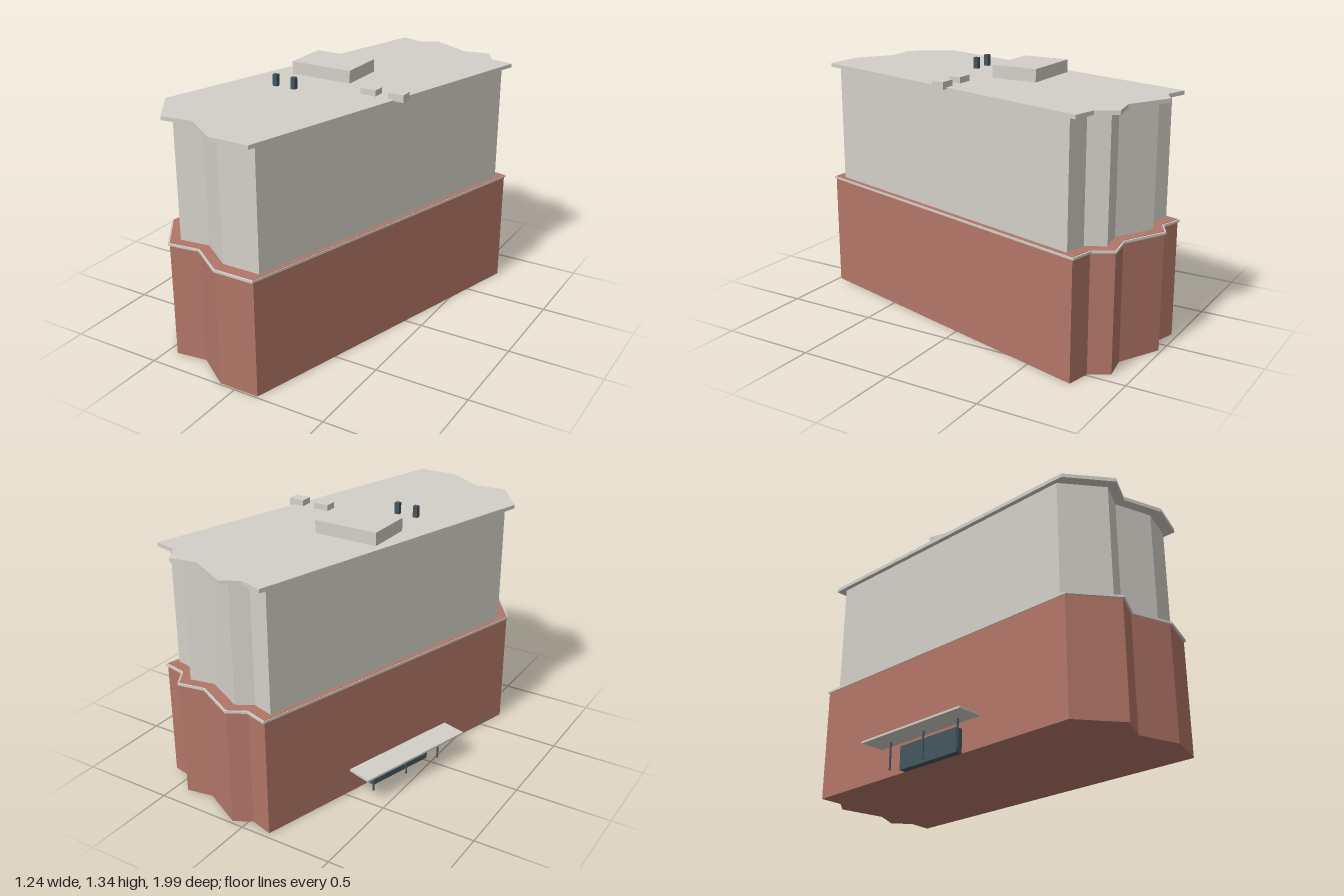
import * as THREE from 'three';

// Footprint of the block as [x, z] corners
const OUTLINE = [
  [-0.14, -0.97], [-0.02, -0.935], [0.07, -0.985], [0.29, -0.87], [0.43, -0.895], [0.49, -0.795],
  [0.615, -0.768], [0.128, 0.99], [-0.09, 0.99], [-0.278, 0.86], [-0.445, 0.882], [-0.602, 0.66],
];

const material = (color) => new THREE.MeshStandardMaterial({ color, flatShading: true });
const stone = material(0xd3d0c8);
const brick = material(0xb27667);
const dark = material(0x44565f);

function add(parent, name, geometry, mat) {
  const mesh = new THREE.Mesh(geometry, mat);
  mesh.name = name;
  parent.add(mesh);
  return mesh;
}

// Storey or slab: the footprint scaled and raised from y0 to y1
function storey(parent, name, scale, y0, y1, mat) {
  const shape = new THREE.Shape(OUTLINE.map(([x, z]) => new THREE.Vector2(x * scale, -z * scale)));
  const geometry = new THREE.ExtrudeGeometry(shape, { depth: y1 - y0, bevelEnabled: false });
  geometry.rotateX(-Math.PI / 2).translate(0, y0, 0);
  return add(parent, name, geometry, mat);
}

// Box given by its limits on each axis
function block(parent, name, [x0, x1], [y0, y1], [z0, z1], mat) {
  const geometry = new THREE.BoxGeometry(x1 - x0, y1 - y0, z1 - z0);
  geometry.translate((x0 + x1) / 2, (y0 + y1) / 2, (z0 + z1) / 2);
  return add(parent, name, geometry, mat);
}

export function createModel() {
  const model = new THREE.Group();
  model.name = 'building';

  // Main volumes
  storey(model, 'lowerWalls', 1, 0, 0.626, brick);
  storey(model, 'ledgeBand', 1.01, 0.612, 0.624, stone);
  storey(model, 'upperWalls', 0.94, 0.62, 1.26, stone);
  storey(model, 'roofSlab', 1, 1.255, 1.275, stone);

  // Rooftop equipment
  block(model, 'plantRoom', [-0.297, 0.048], [1.27, 1.342], [-0.258, -0.005], stone);
  for (const x of [0.18, 0.333]) {
    block(model, 'roofUnit', [x, x + 0.085], [1.267, 1.306], [0.05, 0.115], stone);
  }
  for (const x of [-0.267, -0.16]) {
    block(model, 'ventStack', [x, x + 0.025], [1.27, 1.335], [0.2, 0.225], dark);
  }

  // Entrance aligned with the long side wall
  const entrance = new THREE.Group();
  entrance.name = 'entrance';
  entrance.position.set(-0.46, 0, -0.182);
  entrance.rotation.y = -0.28;
  model.add(entrance);
  block(entrance, 'canopy', [-0.068, 0.068], [0.145, 0.156], [-0.345, 0.345], stone);
  block(entrance, 'entranceGlazing', [0.055, 0.1], [0, 0.125], [-0.193, 0.2], dark);
  for (const z of [-0.225, 0.01, 0.245]) {
    const post = add(entrance, 'canopyPost', new THREE.CylinderGeometry(0.005, 0.005, 0.148, 8), dark);
    post.position.set(0.02, 0.074, z);
  }
  return model;
}
